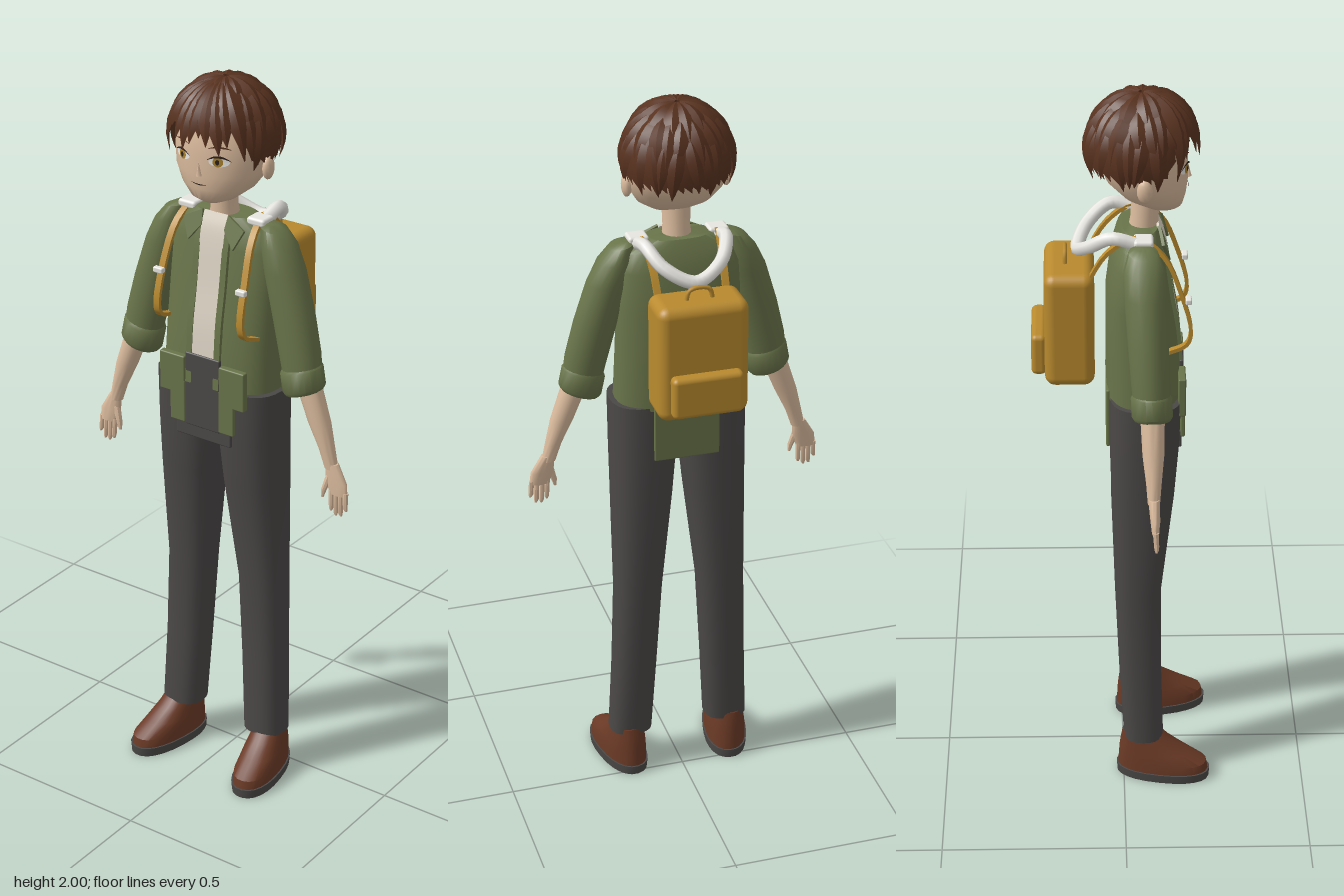
import * as THREE from 'three';
import { toCreasedNormals } from 'three/addons/utils/BufferGeometryUtils.js';
import { RoundedBoxGeometry } from 'three/addons/geometries/RoundedBoxGeometry.js';

const V = (x, y, z) => new THREE.Vector3(x, y, z);
const paint = (name, color, side = THREE.FrontSide) => {
  const m = new THREE.MeshStandardMaterial({ color, side });
  m.name = name;
  return m;
};

// Skins a list of closed rings and caps both ends
function skin(rings, crease = 0.7) {
  const n = rings[0].length, pos = [], idx = [];
  rings.forEach(r => r.forEach(p => pos.push(p.x, p.y, p.z)));
  for (let i = 0; i < rings.length - 1; i++) for (let j = 0; j < n; j++) {
    const a = i * n + j, b = i * n + (j + 1) % n;
    idx.push(a, a + n, b, b, a + n, b + n);
  }
  const last = (rings.length - 1) * n;
  for (let j = 1; j < n - 1; j++) idx.push(0, j, j + 1, last, last + j + 1, last + j);
  const g = new THREE.BufferGeometry();
  g.setAttribute('position', new THREE.Float32BufferAttribute(pos, 3));
  g.setIndex(idx);
  return toCreasedNormals(g, crease);
}

// Level rings, bottom to top: [x, y, z, radiusX, radiusZ, tilt]
function loft(sections, exp = 2, n = 20) {
  const f = v => Math.sign(v) * Math.abs(v) ** (2 / exp);
  return skin(sections.map(([x, y, z, rx, rz, tilt = 0]) => Array.from({ length: n }, (_, j) => {
    const a = j / n * Math.PI * 2, dx = rx * f(Math.cos(a));
    return V(x + dx, y + tilt * dx, z + rz * f(Math.sin(a)));
  })));
}

// Flat band along a path, its width lying across x
function band(points, w, t, steps = 16) {
  const c = new THREE.CatmullRomCurve3(points.map(p => V(...p))), X = V(1, 0, 0);
  return skin(Array.from({ length: steps + 1 }, (_, i) => {
    const p = c.getPoint(i / steps), N = X.clone().cross(c.getTangent(i / steps)).normalize();
    return [[1, 1], [-1, 1], [-1, -1], [1, -1]].map(([a, b]) => p.clone().addScaledVector(X, a * w).addScaledVector(N, b * t));
  }));
}

const HEAD = [[0, 1.687, 0.108, 0.03, 0.026], [0, 1.7, 0.1, 0.062, 0.052], [0, 1.73, 0.077, 0.1, 0.083],
  [0, 1.77, 0.06, 0.125, 0.105], [0, 1.82, 0.05, 0.133, 0.114], [0, 1.88, 0.05, 0.13, 0.114],
  [0, 1.94, 0.05, 0.1, 0.09], [0, 1.97, 0.05, 0.05, 0.05]];

// Lays a flat shape onto the front of the face
function onFace(g, lift) {
  const p = g.attributes.position;
  for (let i = 0; i < p.count; i++) {
    const x = p.getX(i), y = p.getY(i);
    const k = Math.max(0, HEAD.findIndex(h => h[1] > y) - 1), a = HEAD[k], b = HEAD[k + 1];
    const [, , cz, rx, rz] = a.map((v, q) => THREE.MathUtils.lerp(v, b[q], (y - a[1]) / (b[1] - a[1])));
    p.setZ(i, cz + rz * Math.sqrt(Math.max(0, 1 - (x / rx) ** 2)) + lift);
  }
  g.computeVertexNormals();
  return g;
}

// Point on the hair dome: t = 0 at the crown, 1 at the hemline
function hairPoint(az, t, out = 1) {
  const front = THREE.MathUtils.smoothstep(Math.sin(az), 0.35, 0.75);
  const th = t * THREE.MathUtils.lerp(1.88, 1.27, front);
  return V(0.141 * out * Math.sin(th) * Math.cos(az), 1.845 + 0.147 * out * Math.cos(th),
    0.047 + 0.14 * out * Math.sin(th) * Math.sin(az));
}

// Tapered lock lying on the dome
function lock(az, t0, t1, w, sweep, out = 1.015) {
  const rings = [];
  for (let i = 0; i <= 7; i++) {
    const u = i / 7, a = az + sweep * u, p = hairPoint(a, t0 + (t1 - t0) * u, out + 0.02 * u);
    const k = Math.max(0.03, Math.sin(Math.PI * (0.12 + 0.88 * u) ** 0.9));
    const S = V(-Math.sin(a), 0, Math.cos(a)), N = p.clone().sub(V(0, 1.845, 0.047)).normalize();
    rings.push([[1, 0], [0, 0.4], [-1, 0], [0, -0.4]].map(([s, n]) =>
      p.clone().addScaledVector(S, s * w * k).addScaledVector(N, n * w * k)));
  }
  return skin(rings, 0.5);
}

export function createModel() {
  const root = new THREE.Group();
  const D = THREE.DoubleSide;
  const skinTone = paint('skin', 0xdcbc9e), brown = paint('hair brown', 0x58321f, D), green = paint('jacket green', 0x69744a, D),
    grey = paint('trouser grey', 0x4b4847), mustard = paint('mustard', 0xb98a2e), leather = paint('shoe leather', 0x6b3a26),
    cream = paint('shirt cream', 0xdcd3c4, D), white = paint('white', 0xe9e7e2, D), amber = paint('iris amber', 0xa8802c, D),
    dark = paint('line dark', 0x2c201b, D);
  const add = (name, geo, mat, x = 0, y = 0, z = 0) => {
    const m = new THREE.Mesh(geo, mat);
    m.name = name;
    m.position.set(x, y, z);
    root.add(m);
    return m;
  };
  const box = (name, mat, x, y, z, w, h, d, r = 0.004) => add(name, new RoundedBoxGeometry(w, h, d, 3, r), mat, x, y, z);

  // Head and neck
  add('head', loft(HEAD, 2, 32), skinTone);
  add('neck', loft([[0, 1.6, 0.05, 0.042, 0.042], [0, 1.66, 0.055, 0.036, 0.036], [0, 1.74, 0.06, 0.038, 0.038]]), skinTone);
  add('nose', new THREE.ConeGeometry(0.009, 0.035, 4), skinTone, 0, 1.785, 0.165);
  const oval = (x, y, rx, ry) => new THREE.CircleGeometry(1, 20).scale(rx, ry, 1).translate(x, y, 0);
  const arc = (x, y, w, h, t) => {
    const s = new THREE.Shape();
    s.moveTo(x - w, y);
    s.quadraticCurveTo(x, y + 2 * h, x + w, y);
    s.quadraticCurveTo(x, y + 2 * (h - t), x - w, y);
    return new THREE.ShapeGeometry(s, 10);
  };
  for (const s of [-1, 1]) {
    add('eyeWhite', onFace(oval(s * 0.055, 1.813, 0.026, 0.013), 0.003), white);
    add('iris', onFace(oval(s * 0.054, 1.813, 0.013, 0.013), 0.005), amber);
    add('pupil', onFace(oval(s * 0.054, 1.813, 0.005, 0.007), 0.007), dark);
    add('upperLid', onFace(arc(s * 0.056, 1.815, 0.031, 0.015, 0.006), 0.006), dark);
    add('eyebrow', onFace(arc(s * 0.057, 1.845, 0.03, 0.009, 0.005), 0.004), brown);
    add('ear', new THREE.SphereGeometry(1, 12, 10).scale(0.014, 0.032, 0.02), skinTone, s * 0.133, 1.785, 0.052);
  }
  add('mouth', onFace(arc(0, 1.748, 0.024, -0.005, -0.003), 0.004), dark);

  // Hair cap, layered locks and fringe
  const cap = new THREE.SphereGeometry(1, 40, 14), cp = cap.attributes.position;
  for (let i = 0; i < cp.count; i++) {
    const p = hairPoint(Math.atan2(cp.getZ(i), cp.getX(i)), Math.acos(THREE.MathUtils.clamp(cp.getY(i), -1, 1)) / Math.PI);
    cp.setXYZ(i, p.x, p.y, p.z);
  }
  cap.computeVertexNormals();
  add('hairCap', cap, brown);
  [[24, 0.5, 1.03, 0.022], [20, 0.28, 0.78, 0.024], [12, 0.03, 0.52, 0.026]].forEach(([n, t0, t1, w], row) => {
    for (let i = 0; i < n; i++) {
      const az = (i + row * 0.5) / n * Math.PI * 2;
      add('hairLock', lock(az, t0, t1 + 0.04 * Math.sin(i * 2.4), w, 0.16 * Math.sin(i * 1.7 + row)), brown);
    }
  });
  for (let i = 0; i < 9; i++) {
    const u = (i - 4) / 4;
    add('fringeLock', lock(Math.PI / 2 - u * 0.62, 0.2, 1.2 + 0.07 * Math.cos(i * 2.1), 0.031, -u * 0.3 + 0.06 * Math.sin(i * 2), 1.035), brown);
  }

  // Jacket body, shirt and hanging hems
  add('jacketBody', loft([[0, 1.17, 0.055, 0.172, 0.1], [0, 1.3, 0.05, 0.167, 0.096], [0, 1.45, 0.038, 0.165, 0.084],
    [0, 1.56, 0.038, 0.163, 0.07], [0, 1.61, 0.04, 0.145, 0.058], [0, 1.64, 0.043, 0.085, 0.046]], 2.6, 32), green);
  add('shirtFront', band([[0, 1.25, 0.152], [0, 1.35, 0.143], [0, 1.45, 0.126], [0, 1.56, 0.112], [0, 1.61, 0.102], [0, 1.645, 0.088]], 0.037, 0.003), cream);
  box('shirtHem', grey, 0, 1.16, 0.152, 0.11, 0.21, 0.012);
  box('lowerHem', grey, 0, 1.045, 0.148, 0.175, 0.05, 0.012);
  box('jacketTail', green, 0, 1.11, -0.041, 0.18, 0.17, 0.01);
  box('waist', grey, 0, 1.1, 0.055, 0.17, 0.16, 0.16, 0.02);

  // Paired body parts
  for (const s of [-1, 1]) {
    const side = rows => rows.map(([x, y, z, rx, rz, tilt = 0]) => [s * x, y, z, rx, rz, s * tilt]);
    add('frontPlacket', band([[s * 0.044, 1.18, 0.155], [s * 0.044, 1.35, 0.143], [s * 0.044, 1.45, 0.126],
      [s * 0.044, 1.56, 0.11], [s * 0.044, 1.62, 0.095]], 0.009, 0.005), green);
    box('pocket', green, s * 0.095, 1.195, 0.152, 0.08, 0.11, 0.02);
    box('frontFlap', green, s * 0.078, 1.12, 0.156, 0.048, 0.12, 0.012);
    const lapel = new THREE.Shape([[0, 0], [0.055, -0.03], [0.03, -0.085], [-0.005, -0.04]].map(p => new THREE.Vector2(s * p[0], p[1])));
    const collar = add('collar', new THREE.ExtrudeGeometry(lapel, { depth: 0.008, bevelEnabled: false }), green, s * 0.04, 1.645, 0.088);
    collar.rotation.x = -0.3;

    add('sleeve', loft(side([[0.262, 1.22, 0.07, 0.05, 0.046, 0.3], [0.247, 1.3, 0.066, 0.054, 0.05, 0.3],
      [0.222, 1.4, 0.06, 0.055, 0.052, 0.25], [0.188, 1.52, 0.053, 0.054, 0.054, 0.1], [0.168, 1.585, 0.05, 0.047, 0.052, -0.1],
      [0.15, 1.625, 0.048, 0.034, 0.038, -0.2], [0.142, 1.635, 0.047, 0.015, 0.02, -0.2]])), green);
    add('cuff', loft(side([[0.263, 1.205, 0.07, 0.05, 0.047, 0.3], [0.262, 1.215, 0.07, 0.057, 0.053, 0.3],
      [0.252, 1.265, 0.068, 0.057, 0.053, 0.3], [0.25, 1.275, 0.067, 0.05, 0.047, 0.3]])), green);
    add('forearm', loft(side([[0.352, 1.01, 0.073, 0.019, 0.016], [0.338, 1.06, 0.073, 0.022, 0.02],
      [0.313, 1.13, 0.072, 0.031, 0.028], [0.272, 1.24, 0.07, 0.036, 0.032]])), skinTone);
    add('palm', loft(side([[0.378, 0.94, 0.077, 0.027, 0.01], [0.37, 0.975, 0.076, 0.032, 0.013], [0.354, 1.025, 0.073, 0.018, 0.015]])), skinTone);
    [0.89, 0.88, 0.882, 0.9].forEach((tip, i) => {
      const x = 0.356 + i * 0.0145;
      add('finger', loft(side([[x + 0.002 + i * 0.001, tip, 0.08, 0.003, 0.003], [x + 0.002, tip + 0.008, 0.08, 0.0065, 0.006],
        [x, 0.95, 0.077, 0.0075, 0.008]]), 2, 8), skinTone);
    });
    add('thumb', loft(side([[0.333, 0.925, 0.084, 0.004, 0.004], [0.336, 0.945, 0.083, 0.008, 0.008], [0.35, 0.99, 0.077, 0.011, 0.01]]), 2, 8), skinTone);

    add('trouserLeg', loft(side([[0.14, 0.125, 0.055, 0.06, 0.055], [0.129, 0.35, 0.045, 0.062, 0.058], [0.118, 0.6, 0.039, 0.066, 0.063],
      [0.102, 0.9, 0.051, 0.083, 0.085], [0.096, 1.04, 0.056, 0.09, 0.091], [0.094, 1.18, 0.058, 0.093, 0.093]]), 2.5, 24), grey);
    const upper = add('shoe', loft([[0, 0.02, 0, 0.058, 0.128], [0, 0.05, -0.002, 0.057, 0.124], [0, 0.08, -0.028, 0.053, 0.096],
      [0, 0.11, -0.05, 0.046, 0.07], [0, 0.142, -0.064, 0.042, 0.05]], 2.3, 24), leather, s * 0.16, 0, 0.11);
    const sole = add('sole', loft([[0, 0, 0, 0.06, 0.13], [0, 0.026, 0, 0.062, 0.132]], 2.3, 24), grey, s * 0.16, 0, 0.11);
    upper.rotation.y = sole.rotation.y = s * 0.18;

    // Backpack straps and clips
    add('backpackStrap', band([[s * 0.09, 1.5, -0.1], [s * 0.095, 1.6, -0.04], [s * 0.105, 1.642, 0.03], [s * 0.118, 1.6, 0.1],
      [s * 0.128, 1.5, 0.145], [s * 0.132, 1.39, 0.172], [s * 0.134, 1.355, 0.16], [s * 0.14, 1.335, 0.11]], 0.009, 0.005, 28), mustard);
    box('strapClip', white, s * 0.13, 1.48, 0.165, 0.03, 0.016, 0.016);
    box('shoulderPad', white, s * 0.108, 1.636, 0.05, 0.055, 0.022, 0.05, 0.008);
  }

  // White hood folded behind the neck
  const hood = [[0.11, 1.63, 0.03], [0.108, 1.645, -0.03], [0.075, 1.605, -0.09], [0, 1.57, -0.118]];
  const loop = [...hood, ...hood.slice(0, 3).reverse().map(([x, y, z]) => [-x, y, z])].map(p => V(...p));
  add('hoodRoll', new THREE.TubeGeometry(new THREE.CatmullRomCurve3(loop), 32, 0.018, 8), white);

  // Backpack
  box('backpack', mustard, 0, 1.38, -0.14, 0.242, 0.32, 0.13, 0.028);
  box('backpackPocket', mustard, 0, 1.302, -0.22, 0.19, 0.115, 0.04, 0.014);
  const handle = [[-0.036, 1.53, -0.15], [-0.025, 1.565, -0.15], [0.025, 1.565, -0.15], [0.036, 1.53, -0.15]].map(p => V(...p));
  add('backpackHandle', new THREE.TubeGeometry(new THREE.CatmullRomCurve3(handle), 16, 0.006, 8), mustard);
  return root;
}
